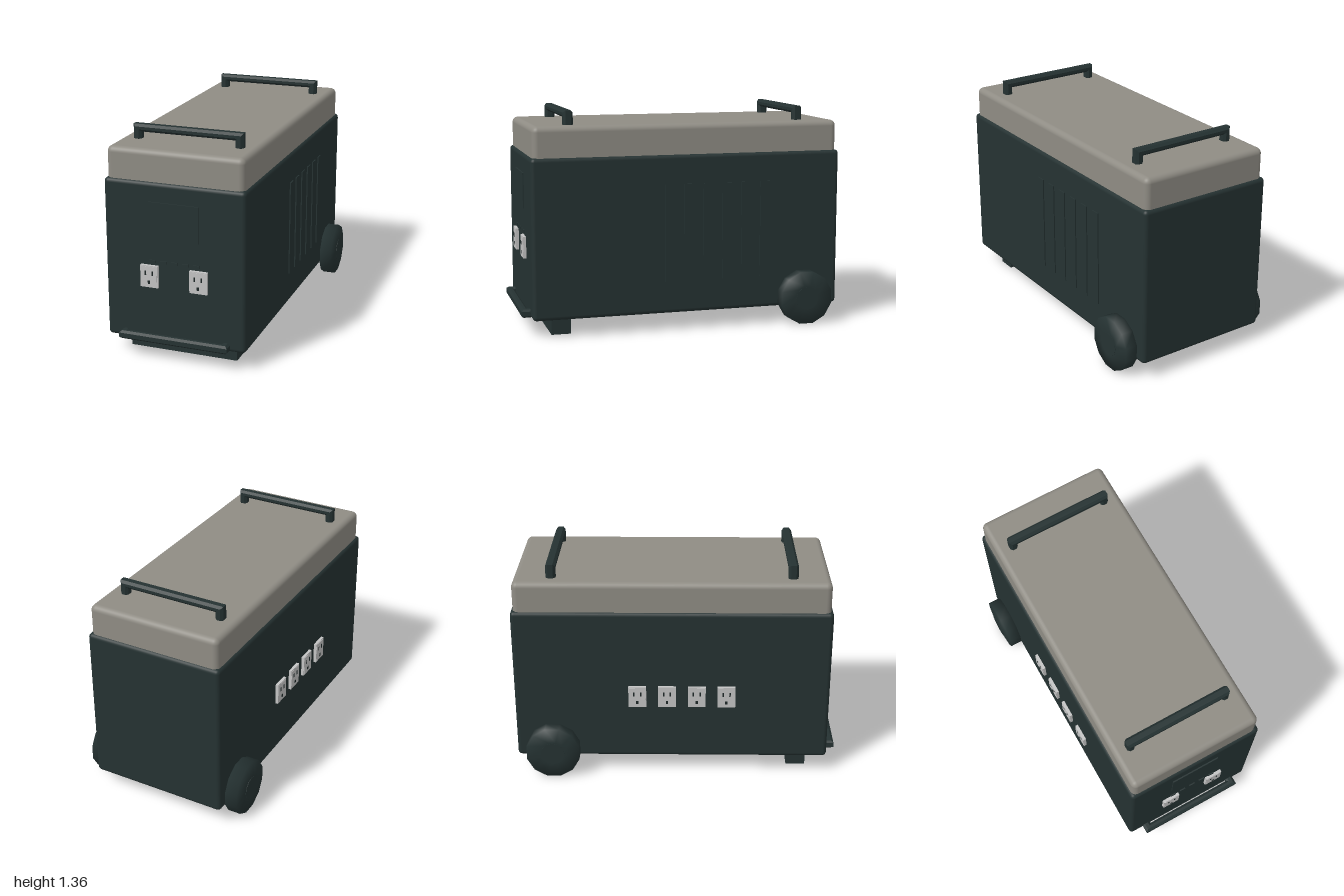
import * as THREE from 'three';
import { RoundedBoxGeometry } from 'three/addons/geometries/RoundedBoxGeometry.js';

export function createModel() {
  const model = new THREE.Group();
  model.name = 'portablePowerUnit';
  const material = (name, color) => {
    const m = new THREE.MeshStandardMaterial({ color });
    m.name = name;
    return m;
  };
  const dark = material('darkTeal', 0x253232);
  const grey = material('warmGrey', 0x8f8c84);
  const white = material('outletWhite', 0xc4c4c4);
  const black = material('slotBlack', 0x1c2626);

  const add = (name, geometry, mat, x, y, z, parent = model) => {
    const mesh = new THREE.Mesh(geometry, mat);
    mesh.name = name;
    mesh.position.set(x, y, z);
    parent.add(mesh);
    return mesh;
  };
  const box = (w, h, d) => new THREE.BoxGeometry(w, h, d);

  // Case and lid
  add('case', new RoundedBoxGeometry(0.87, 0.98, 1.945, 3, 0.025), dark, 0, 0.6, -0.0275);
  add('lid', new RoundedBoxGeometry(0.84, 0.235, 1.915, 4, 0.035), grey, 0, 1.1575, -0.0275);

  // Bracket handle: chamfered U shape, feet at y = 0
  const handleGeometry = (height) => {
    const u = new THREE.Shape();
    [[-0.34, 0], [-0.29, 0], [-0.29, height - 0.045], [0.29, height - 0.045],
      [0.29, 0], [0.34, 0], [0.34, height], [-0.34, height]]
      .forEach(([x, y], i) => (i ? u.lineTo(x, y) : u.moveTo(x, y)));
    const b = 0.014;
    return new THREE.ExtrudeGeometry(u, {
      depth: 0.06 - 2 * b, bevelEnabled: true, bevelThickness: b,
      bevelSize: b, bevelOffset: -b, bevelSegments: 1,
    }).translate(0, 0, -0.03 + b);
  };
  add('frontTopHandle', handleGeometry(0.1), dark, 0, 1.262, 0.7);
  add('rearTopHandle', handleGeometry(0.1), dark, 0, 1.262, -0.755);
  const pull = add('lowerPullHandle', handleGeometry(0.07), dark, 0, 0.14, 0.93);
  pull.rotation.x = Math.PI / 2;
  pull.scale.z = 0.85;

  // Front foot
  add('frontFoot', box(0.68, 0.12, 0.12), dark, 0, 0.06, 0.76);

  // Wheels: twelve-sided, faces slightly domed
  const profile = [[0, -0.052], [0.08, -0.052], [0.17, -0.04], [0.17, 0.04], [0.08, 0.052], [0, 0.052]]
    .map(([r, y]) => new THREE.Vector2(r, y));
  const wheelGeometry = new THREE.LatheGeometry(profile, 12).rotateY(Math.PI / 12).rotateZ(-Math.PI / 2);
  const hubGeometry = new THREE.CylinderGeometry(0.074, 0.074, 0.006, 12).rotateZ(Math.PI / 2);
  for (const side of [1, -1]) {
    const name = side > 0 ? 'left' : 'right';
    add(name + 'Wheel', wheelGeometry, dark, side * 0.472, 0.17, -0.77);
    add(name + 'Hub', hubGeometry, dark, side * 0.523, 0.17, -0.77);
  }

  // Front screen and buttons
  add('screen', box(0.31, 0.22, 0.012), dark, 0, 0.865, 0.947);
  for (let i = -2; i <= 2; i++) {
    add('button', box(0.037, 0.017, 0.012), dark, i * 0.068, 0.613, 0.946);
  }

  // Power outlets: raised plate, inner face, two slots and a ground hole
  const addOutlet = (x, y, z, turn) => {
    const outlet = new THREE.Group();
    outlet.name = 'outlet';
    add('outletPlate', box(0.11, 0.135, 0.018), white, 0, 0, 0.009, outlet);
    add('outletFace', box(0.098, 0.123, 0.003), white, 0, 0, 0.0185, outlet);
    for (const s of [-1, 1]) {
      add('slot', box(0.009, 0.027, 0.004), black, s * 0.021, 0.021, 0.0195, outlet);
    }
    add('groundHole', box(0.015, 0.02, 0.004), black, 0, -0.035, 0.0195, outlet);
    outlet.position.set(x, y, z);
    outlet.rotation.y = turn;
    model.add(outlet);
  };
  for (const x of [-0.153, 0.153]) addOutlet(x, 0.522, 0.945, 0);
  for (let i = 0; i < 4; i++) addOutlet(-0.437, 0.537, -0.24 + i * 0.183, -Math.PI / 2);

  // Vent slats on the left side
  for (let i = 0; i < 6; i++) {
    add('ventSlat', box(0.012, 0.6, 0.06), dark, 0.436, 0.61, -0.51 + i * 0.122);
  }
  return model;
}
